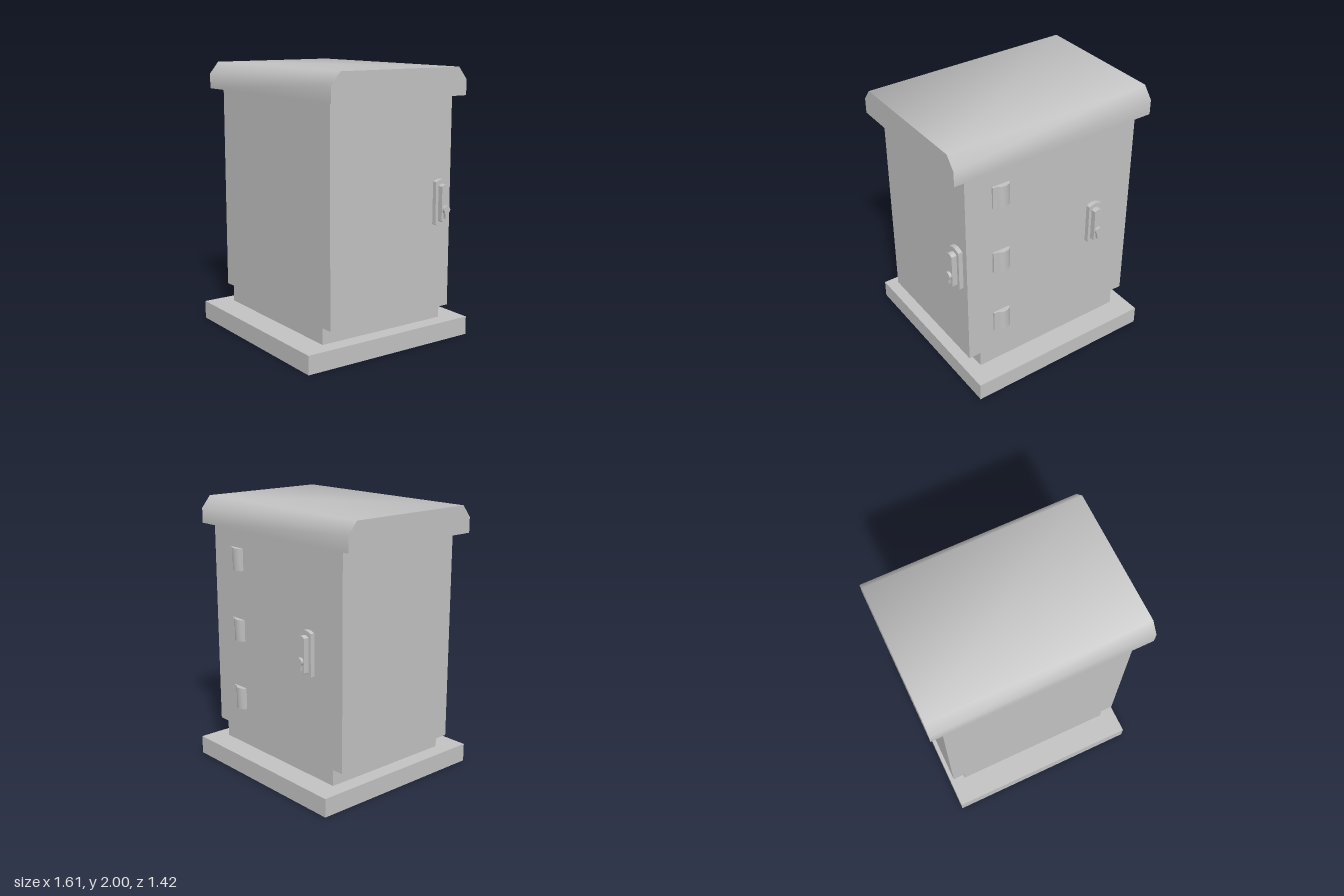
import * as THREE from 'three';
import { toCreasedNormals } from 'three/addons/utils/BufferGeometryUtils.js';

const steel = new THREE.MeshStandardMaterial({ color: 0xc2c2c2, side: THREE.DoubleSide });
steel.name = 'grey steel';

function part(name, geometry) {
  const mesh = new THREE.Mesh(geometry, steel);
  mesh.name = name;
  return mesh;
}

// Open rectangular sheet-metal shell through rings of [y, half width, front z, back z]
function shell(rings) {
  const loops = rings.map(([y, w, f, b]) =>
    [[w, f], [w, b], [-w, b], [-w, f]].map(([x, z]) => new THREE.Vector3(x, y, z)));
  const pts = [];
  for (let r = 0; r + 1 < loops.length; r++) {
    for (let i = 0; i < 4; i++) {
      const j = (i + 1) % 4;
      const [a, b, c, d] = [loops[r][i], loops[r][j], loops[r + 1][j], loops[r + 1][i]];
      for (const t of [[a, b, c], [a, c, d]]) {
        if (new THREE.Triangle(...t).getArea() > 1e-6) pts.push(...t);
      }
    }
  }
  const g = new THREE.BufferGeometry().setFromPoints(pts);
  g.computeVertexNormals();
  return g;
}

function extrude(points, depth, crease = 0.5) {
  const shape = new THREE.Shape(points.map(([x, y]) => new THREE.Vector2(x, y)));
  return toCreasedNormals(new THREE.ExtrudeGeometry(shape, { depth, bevelEnabled: false }), crease);
}

// Upright plate with slightly peaked ends
function peakedPlate(w, h, peak, depth) {
  return extrude([
    [-w, -h + peak], [-w * 0.5, -h + peak * 0.3], [0, -h], [w * 0.5, -h + peak * 0.3], [w, -h + peak],
    [w, h - peak], [w * 0.5, h - peak * 0.3], [0, h], [-w * 0.5, h - peak * 0.3], [-w, h - peak],
  ], depth);
}

// Lock handle, facing +z from its mounting plane
function makeHandle(name) {
  const handle = new THREE.Group();
  handle.name = name;
  handle.add(part('handleBackplate', peakedPlate(0.056, 0.17, 0.016, 0.033)));
  const grip = part('handleGrip', peakedPlate(0.033, 0.138, 0.014, 0.04));
  grip.position.z = 0.033;
  handle.add(grip);

  // Keyhole-shaped lock cover
  const cover = [[-0.014, -0.105], [0.014, -0.105]];
  for (let i = 0; i <= 12; i++) {
    const a = THREE.MathUtils.degToRad(-50 + (280 * i) / 12);
    cover.push([Math.cos(a) * 0.029, -0.043 + Math.sin(a) * 0.029]);
  }
  const lock = part('lockCover', extrude(cover, 0.02));
  lock.position.z = 0.073;
  handle.add(lock);
  return handle;
}

export function createModel() {
  const model = new THREE.Group();
  model.name = 'utilityCabinet';

  // Hollow foundation, plinth and cabinet walls, open underneath
  model.add(part('base', shell([[0, 0.733, 0.708, -0.708], [0.137, 0.733, 0.708, -0.708], [0.137, 0.617, 0.515, -0.535]])));
  model.add(part('plinth', shell([[0.137, 0.617, 0.515, -0.535], [0.257, 0.617, 0.515, -0.535]])));
  model.add(part('body', shell([[0.257, 0.617, 0.515, -0.535], [0.257, 0.709, 0.515, -0.535], [1.8, 0.709, 0.515, -0.535]])));

  // Roof with softened front and back slopes
  const roof = part('roof', extrude([
    [-0.577, 1.8], [0.577, 1.8], [0.577, 1.912], [0.505, 2], [-0.505, 2], [-0.577, 1.912],
  ], 1.614, 1));
  roof.rotation.y = Math.PI / 2;
  roof.position.x = -0.807;
  model.add(roof);

  // Door handles on the side and the back
  const sideHandle = makeHandle('sideHandle');
  sideHandle.rotation.y = Math.PI / 2;
  sideHandle.position.set(0.709, 1.04, -0.431);
  const backHandle = makeHandle('backHandle');
  backHandle.rotation.y = Math.PI;
  backHandle.position.set(-0.37, 1.04, -0.535);
  model.add(sideHandle, backHandle);

  // Door hinges: flat leaf with a rounded barrel
  const hingeShape = [
    [0.5, 0], [0.5, 0.015], [0.465, 0.015], [0.452, 0.03], [0.435, 0.037],
    [0.41, 0.037], [0.385, 0.03], [0.365, 0.015], [0.365, 0],
  ];
  [0.425, 0.96, 1.495].forEach((y, i) => {
    const hinge = part('hinge' + (i + 1), extrude(hingeShape, 0.165, 0.75));
    hinge.rotation.x = -Math.PI / 2;
    hinge.position.set(0, y, -0.535);
    model.add(hinge);
  });

  return model;
}
